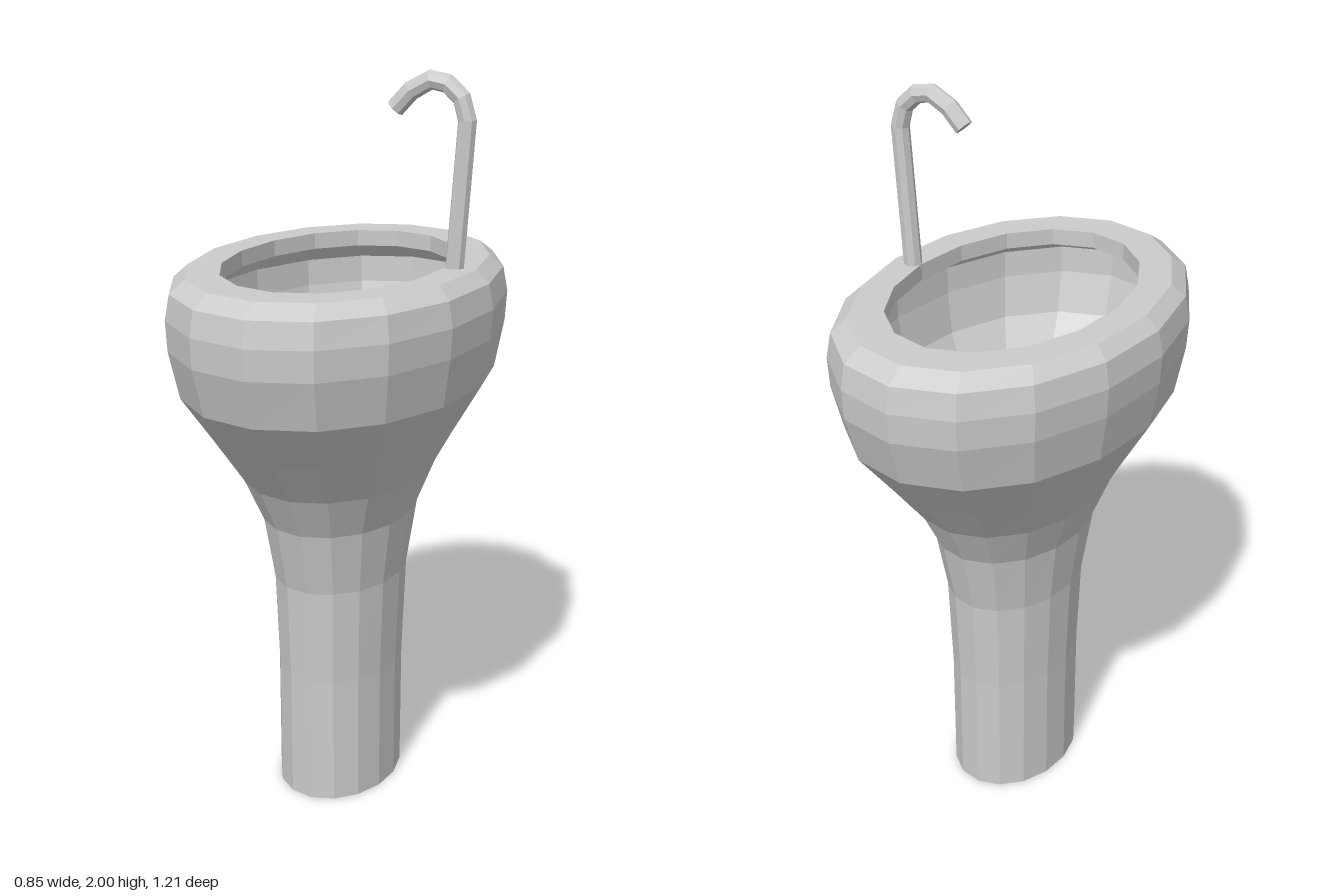
import * as THREE from 'three';

// Skin a list of rings (equal-length arrays of Vector3) with flat facets.
function loft(rings) {
  const n = rings[0].length;
  const index = [];
  for (let i = 0; i < rings.length - 1; i++) {
    for (let j = 0; j < n; j++) {
      const a = i * n + j, b = i * n + (j + 1) % n;
      index.push(a, a + n, b, b, a + n, b + n);
    }
  }
  const indexed = new THREE.BufferGeometry().setFromPoints(rings.flat());
  indexed.setIndex(index);
  const geometry = indexed.toNonIndexed();
  geometry.computeVertexNormals();
  return geometry;
}

// Horizontal elliptical ring.
function ellipse(rx, rz, y, sides = 16) {
  return Array.from({ length: sides }, (_, j) => {
    const a = (j / sides) * Math.PI * 2;
    return new THREE.Vector3(rx * Math.cos(a), y, rz * Math.sin(a));
  });
}

// Capped, mitred pipe along a path in the xy plane.
function pipe(path, radius, z, sides = 8) {
  const points = path.map(([x, y]) => new THREE.Vector2(x, y));
  const last = points.length - 1;
  const ring = (i, r) => {
    const before = points[i].clone().sub(points[Math.max(i - 1, 0)]).normalize();
    const after = points[Math.min(i + 1, last)].clone().sub(points[i]).normalize();
    const d = before.add(after).normalize();
    return Array.from({ length: sides }, (_, j) => {
      const a = (j / sides) * Math.PI * 2;
      const c = r * Math.cos(a);
      return new THREE.Vector3(points[i].x + c * d.y, points[i].y - c * d.x, z + r * Math.sin(a));
    });
  };
  const rings = points.map((_, i) => ring(i, radius));
  return loft([ring(0, 0), ...rings, ring(last, 0)]);
}

export function createModel() {
  const group = new THREE.Group();
  const material = new THREE.MeshStandardMaterial({ color: 0xcccccc, flatShading: true });
  const add = (name, geometry) => {
    const mesh = new THREE.Mesh(geometry, material);
    mesh.name = name;
    group.add(mesh);
  };

  // Outer wall from the floor to the rim: [x radius, z radius, height]
  const outer = [
    [0.165, 0.222, 0], [0.166, 0.225, 0.36], [0.176, 0.238, 0.63], [0.202, 0.28, 0.81],
    [0.25, 0.345, 0.93], [0.322, 0.452, 1.06], [0.397, 0.562, 1.19], [0.42, 0.603, 1.32],
    [0.425, 0.607, 1.4], [0.412, 0.595, 1.467], [0.375, 0.542, 1.5],
  ];
  // Rim lip, then the inner wall back down through the hollow pedestal
  const inner = [
    [0.292, 0.433, 1.5], [0.292, 0.433, 1.455], [0.35, 0.51, 1.455], [0.378, 0.562, 1.4],
    [0.375, 0.558, 1.325], [0.355, 0.522, 1.21], [0.283, 0.415, 1.085], [0.212, 0.31, 0.955],
    [0.157, 0.235, 0.825], [0.131, 0.193, 0.635], [0.121, 0.18, 0.36], [0.12, 0.177, 0],
  ];
  const profile = [...outer, ...inner, outer[0]];
  add('pedestalBasin', loft(profile.map(([rx, rz, y]) => ellipse(rx, rz, y))));

  // Gooseneck tap standing on the rim
  add('tap', pipe([
    [0.315, 1.49], [0.341, 1.876], [0.325, 1.932], [0.287, 1.966],
    [0.243, 1.974], [0.19, 1.945], [0.148, 1.9],
  ], 0.025, -0.005));

  return group;
}
